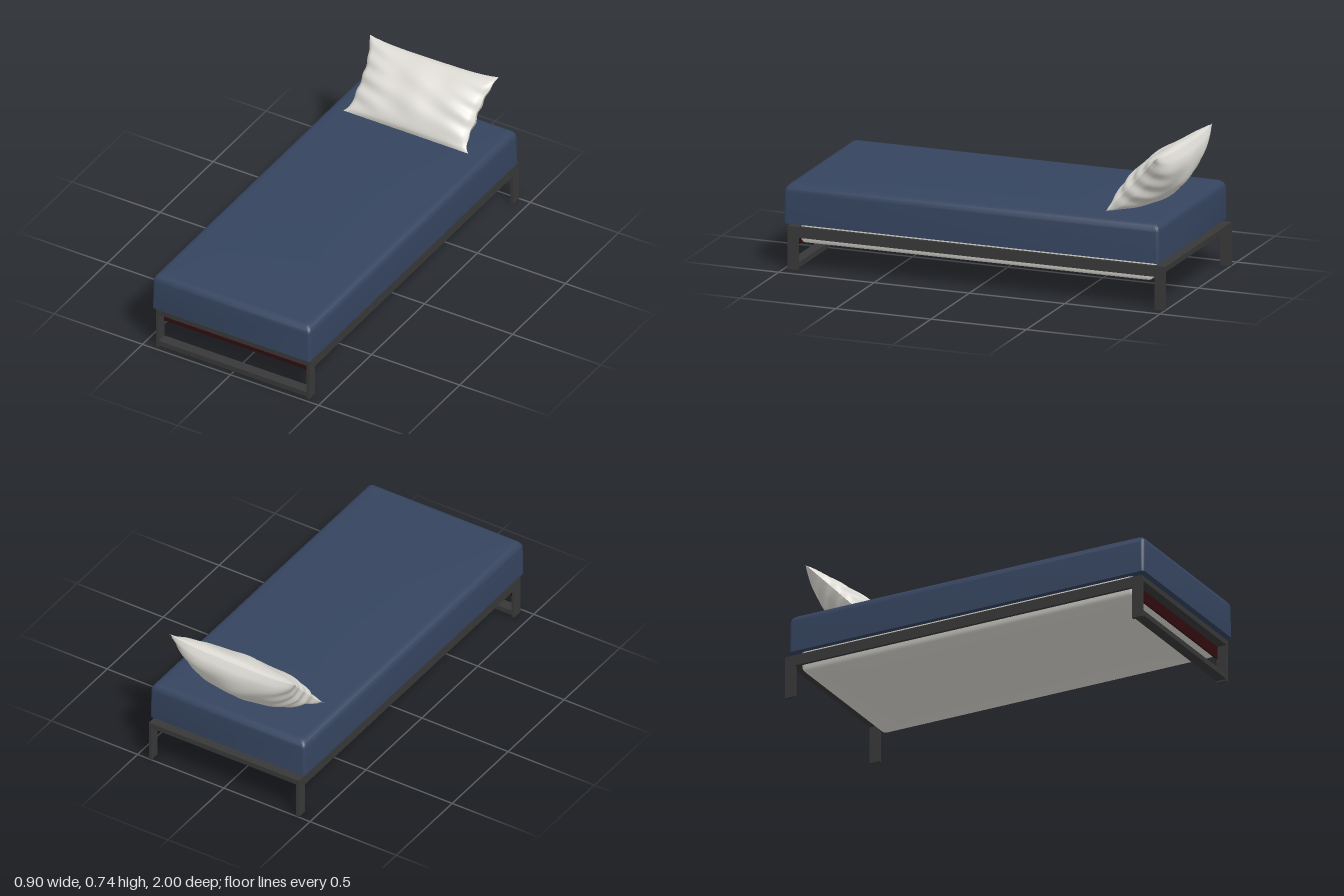
import * as THREE from 'three';
import { toCreasedNormals } from 'three/addons/utils/BufferGeometryUtils.js';

const mat = (name, color, side = THREE.FrontSide) => {
  const m = new THREE.MeshStandardMaterial({ color, side });
  m.name = name;
  return m;
};

// Closed solid from stacked rounded rectangles; each ring is [half width, half length, y, corner radius]
function loft(rings, creaseAngle) {
  const pos = [], index = [], steps = 5, n = 4 * (steps + 1);
  for (const [hx, hz, y, r] of rings) {
    for (let q = 0; q < 4; q++) {
      const sx = q === 0 || q === 3 ? 1 : -1, sz = q < 2 ? -1 : 1;
      for (let s = 0; s <= steps; s++) {
        const a = (q + s / steps) * Math.PI / 2;
        pos.push(sx * (hx - r) + r * Math.cos(a), y, sz * (hz - r) - r * Math.sin(a));
      }
    }
  }
  const last = rings.length - 1, bottom = pos.length / 3, top = bottom + 1;
  pos.push(0, rings[0][2], 0, 0, rings[last][2], 0);
  for (let j = 0; j < n; j++) {
    const k = (j + 1) % n;
    for (let i = 0; i < last; i++) {
      const a = i * n + j, b = i * n + k;
      index.push(a, b, b + n, a, b + n, a + n);
    }
    index.push(bottom, k, j, top, last * n + j, last * n + k);
  }
  const g = new THREE.BufferGeometry();
  g.setAttribute('position', new THREE.Float32BufferAttribute(pos, 3));
  g.setIndex(index);
  return toCreasedNormals(g, creaseAngle);
}

// One face of the leaning pillow: side 1 is the front, -1 the back
function pillowFace(side) {
  const g = new THREE.PlaneGeometry(2, 2, 56, 40);
  const p = g.attributes.position;
  for (let i = 0; i < p.count; i++) {
    const u = p.getX(i) * side, v = p.getY(i), t = (v + 1) / 2;
    const halfWidth = 0.325 + (v > 0 ? 0.04 * v * v : 0.03 * Math.pow(v, 8));
    const puff = Math.pow(Math.max(0, 1 - v * v), 0.55) * Math.pow(Math.max(0, 1 - u * u), 0.45);
    // Soft folds gather toward the short ends
    const fold = 0.007 * Math.pow(Math.abs(u), 3) * Math.sin(14 * v + 5 * u)
      + 0.003 * Math.sin(7 * u + 5 * v) * Math.sin(4 * v - 2 * u);
    const d = side * puff * ((side > 0 ? 0.065 : 0.14) + fold * 2);
    const sag = -0.022 * t * t * (1 - u * u * u * u) + 0.006 * t * u;
    const y = 0.445 + 0.29 * t + sag + 0.68 * d;
    const z = -0.655 - 0.27 * t + 0.73 * d;
    p.setXYZ(i, u * halfWidth * (1 + fold * 1.5 * (1 - v * v)), Math.max(y, 0.437), z);
  }
  g.computeVertexNormals();
  return g;
}

export function createModel() {
  const model = new THREE.Group();
  model.name = 'bed';
  const steel = mat('dark steel', 0x383838);
  const navy = mat('navy fabric', 0x35445f);
  const linen = mat('off-white linen', 0xdedcd5, THREE.DoubleSide);
  const maroon = mat('dark maroon', 0x300b0f);

  const add = (parent, name, geometry, material) => {
    const m = new THREE.Mesh(geometry, material);
    m.name = name;
    parent.add(m);
    return m;
  };

  // Frame of flat steel bars, given by their min and max corners
  const frame = new THREE.Group();
  frame.name = 'frame';
  model.add(frame);
  const bar = (name, x0, x1, y0, y1, z0, z1, material = steel) =>
    add(frame, name, new THREE.BoxGeometry(x1 - x0, y1 - y0, z1 - z0), material)
      .position.set((x0 + x1) / 2, (y0 + y1) / 2, (z0 + z1) / 2);

  for (const [side, s] of [['left', 1], ['right', -1]]) {
    const x0 = s > 0 ? 0.42 : -0.435, x1 = x0 + 0.015;
    bar(side + 'SideRail', x0, x1, 0.165, 0.22, -0.945, 0.925);
    bar(side + 'FrontLeg', x0, x1, 0, 0.22, 0.925, 0.98);
    bar(side + 'BackLeg', x0, x1, 0, 0.22, -1, -0.945);
  }
  bar('frontRail', -0.42, 0.42, 0.193, 0.22, 0.925, 0.98);
  bar('frontFootBar', -0.42, 0.42, 0.01, 0.037, 0.925, 0.98);
  bar('backRail', -0.42, 0.42, 0.193, 0.22, -1, -0.945);
  bar('frontPanel', -0.424, 0.424, 0.13, 0.196, 0.922, 0.93, maroon);

  // Pale base with a softly rounded underside
  add(model, 'base', loft([
    [0.395, 0.895, 0.134, 0.01],
    [0.41, 0.912, 0.139, 0.015],
    [0.418, 0.92, 0.152, 0.02],
    [0.418, 0.92, 0.24, 0.02],
  ], 0.7), linen);

  // Covered mattress with rounded upper edges
  const rings = [[0.448, 0.984, 0.235, 0.015], [0.447, 0.983, 0.392, 0.018]];
  for (let i = 1; i <= 6; i++) {
    const a = i / 6 * Math.PI / 2, inset = 0.04 * (1 - Math.cos(a));
    rings.push([0.447 - inset, 0.983 - inset, 0.392 + 0.041 * Math.sin(a), 0.018]);
  }
  add(model, 'mattress', loft(rings, 0.6), navy).position.z = 0.013;

  // Pillow leaning back at the head
  const pillow = new THREE.Group();
  pillow.name = 'pillow';
  model.add(pillow);
  add(pillow, 'pillowFront', pillowFace(1), linen);
  add(pillow, 'pillowBack', pillowFace(-1), linen);

  return model;
}
